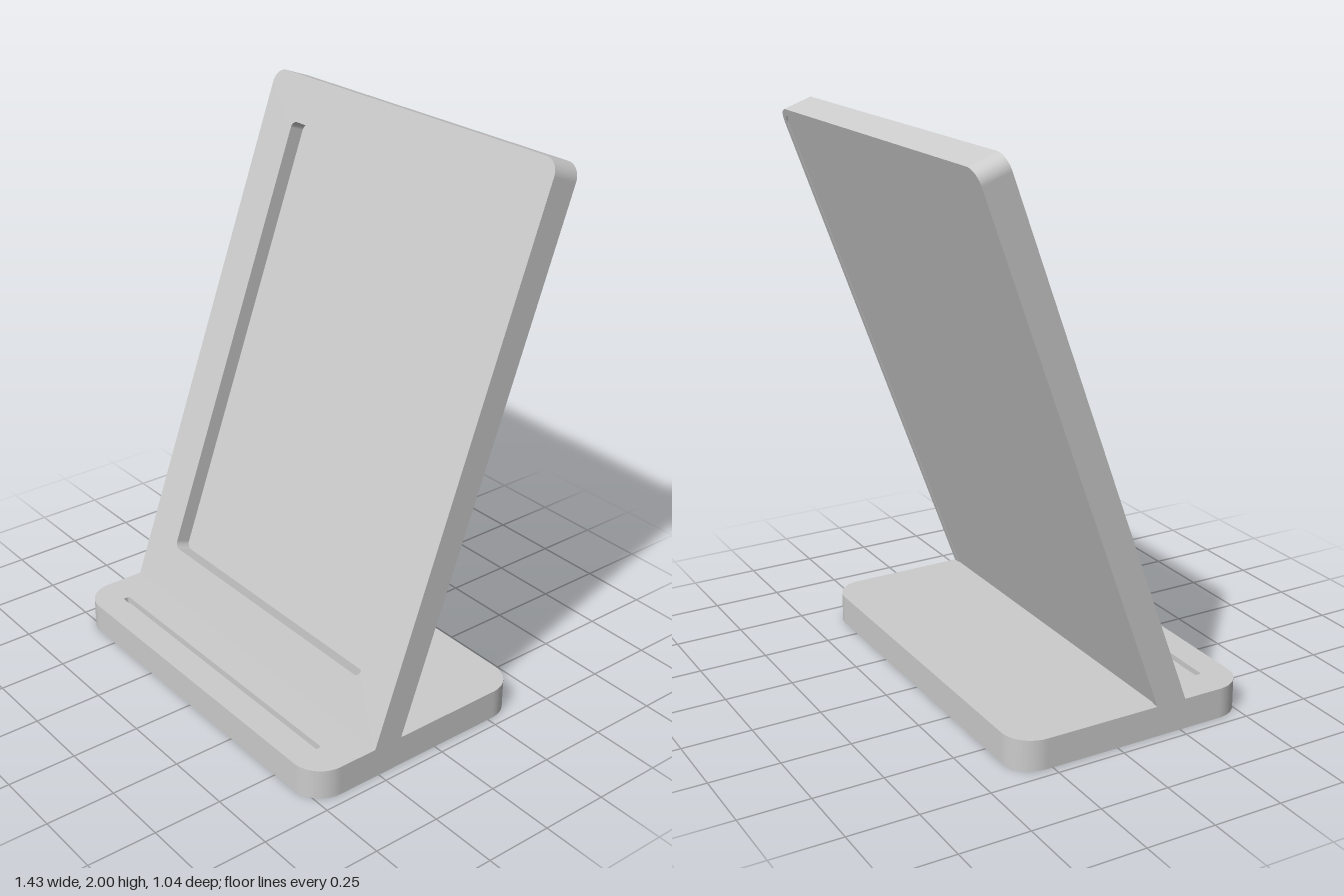
import * as THREE from 'three';

const mat = new THREE.MeshStandardMaterial({ color: 0xcccccc });

// Rounded rectangle from two corners, with separate radii for lower and upper corners
function roundRect(x0, y0, x1, y1, rLow, rTop = rLow, target = new THREE.Shape()) {
  target.moveTo(x0 + rLow, y0);
  target.lineTo(x1 - rLow, y0);
  if (rLow) target.absarc(x1 - rLow, y0 + rLow, rLow, -Math.PI / 2, 0);
  target.lineTo(x1, y1 - rTop);
  if (rTop) target.absarc(x1 - rTop, y1 - rTop, rTop, 0, Math.PI / 2);
  target.lineTo(x0 + rTop, y1);
  if (rTop) target.absarc(x0 + rTop, y1 - rTop, rTop, Math.PI / 2, Math.PI);
  target.lineTo(x0, y0 + rLow);
  if (rLow) target.absarc(x0 + rLow, y0 + rLow, rLow, Math.PI, Math.PI * 1.5);
  return target;
}

const hole = (...a) => roundRect(...a, new THREE.Path());

function extrude(shape, depth) {
  return new THREE.ExtrudeGeometry(shape, { depth, bevelEnabled: false, curveSegments: 10 });
}

function add(parent, name, geometry, x = 0, y = 0, z = 0) {
  const mesh = new THREE.Mesh(geometry, mat);
  mesh.name = name;
  mesh.position.set(x, y, z);
  parent.add(mesh);
  return mesh;
}

function createBase() {
  const base = new THREE.Group();
  base.name = 'base';
  const W = 0.713, BACK = 0.38, FRONT = -0.523, R = 0.11, WALL = 0.03;
  const outline = () => roundRect(-W, FRONT, W, BACK, R);
  // Plan outlines are drawn in x and -z, then laid flat
  const slab = (name, shape, y, h) => add(base, name, extrude(shape, h).rotateX(-Math.PI / 2), 0, y, 0);

  // Top skin with the narrow slot, closed below
  const top = outline();
  top.holes.push(hole(-0.59, -0.422, 0.59, -0.398, 0.008, 0.008));
  slab('baseTop', top, 0.085, 0.025);
  slab('baseCeiling', outline(), 0.075, 0.01);

  // Outer wall around the hollow underside
  const wall = outline();
  wall.holes.push(hole(-W + WALL, FRONT + WALL, W - WALL, BACK - WALL, R - WALL, R - WALL));
  slab('baseWall', wall, 0, 0.075);

  // Solid rib under the panel, pierced by two small bores
  const rib = roundRect(-0.69, 0.006, 0.69, 0.08, 0);
  for (const x of [0.29, -0.47]) {
    rib.holes.push(new THREE.Path().absarc(x, 0.04, 0.013, 0, Math.PI * 2, true));
  }
  add(base, 'panelRib', extrude(rib, 0.18), 0, 0, 0.16);

  // Open holder for a small board in one corner of the underside
  const holder = new THREE.Group();
  holder.name = 'boardHolder';
  const parts = [ // x, z, width, depth, height
    [-0.5, -0.19, 0.36, 0.015, 0.05],
    [-0.31, -0.17, 0.02, 0.05, 0.065],
    [-0.29, 0.04, 0.015, 0.07, 0.065],
    [-0.32, 0.07, 0.06, 0.015, 0.065],
    [-0.55, 0.08, 0.16, 0.05, 0.05],
    [-0.66, 0.08, 0.06, 0.07, 0.05],
  ];
  for (const [x, z, w, d, h] of parts) {
    add(holder, 'holderWall', new THREE.BoxGeometry(w, h, d), x, 0.076 - h / 2, z);
  }
  for (const z of [-0.13, 0.02]) {
    add(holder, 'holderPost', new THREE.CylinderGeometry(0.03, 0.03, 0.05, 20), -0.645, 0.051, z);
  }
  base.add(holder);
  return base;
}

function createPanel() {
  const panel = new THREE.Group();
  panel.name = 'panel';
  const W = 0.713, LOW = -0.06, TOP = 1.972, R = 0.055, INSET = 0.025;
  const outline = () => roundRect(-W, LOW, W, TOP, 0, R);

  // Rear rim around a barely sunken back cover
  const rim = outline();
  rim.holes.push(hole(-W + INSET, LOW + 0.005, W - INSET, TOP - INSET, 0, R - INSET));
  add(panel, 'rearRim', extrude(rim, 0.004));

  // Solid core, whose front is the floor of the recess
  add(panel, 'panelCore', extrude(outline(), 0.045), 0, 0, 0.004);

  // Front frame around the shallow window
  const frame = outline();
  frame.holes.push(hole(-0.548, 0.143, 0.548, 1.808, 0.025, 0.025));
  add(panel, 'frontFrame', extrude(frame, 0.057), 0, 0, 0.049);

  // Lean back from the base
  panel.position.set(0, 0.11, 0.155);
  panel.rotation.x = -THREE.MathUtils.degToRad(20);
  return panel;
}

export function createModel() {
  const model = new THREE.Group();
  model.name = 'displayStand';
  model.add(createBase(), createPanel());
  return model;
}
